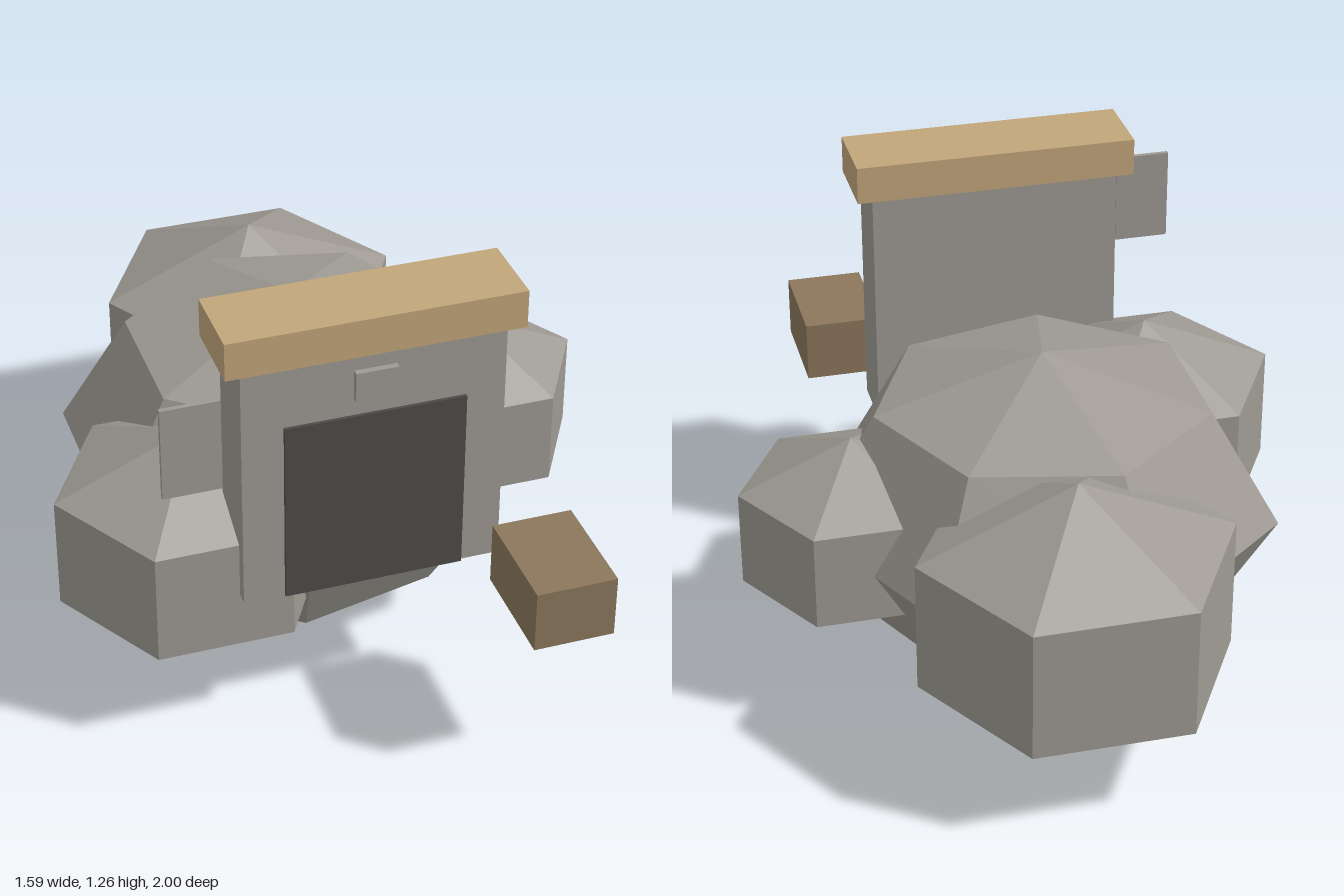
import * as THREE from 'three';

function material(name, color) {
  const m = new THREE.MeshStandardMaterial({ color });
  m.name = name;
  return m;
}

export function createModel() {
  const group = new THREE.Group();
  const stone = material('stone grey', 0x9e9a93);
  const dark = material('dark doorway', 0x4d4b4a);
  const tan = material('light wood', 0xc2a67a);
  const brown = material('brown wood', 0x8b775c);

  // Faceted boulder: a coarse sphere squashed in height
  function boulder(name, radius, squash, sides, rings, x, z) {
    const sphere = new THREE.SphereGeometry(radius, sides, rings);
    sphere.rotateY(Math.PI);
    sphere.scale(1, squash, 1);
    const geometry = sphere.toNonIndexed();
    geometry.computeVertexNormals();
    const mesh = new THREE.Mesh(geometry, stone);
    mesh.name = name;
    mesh.position.set(x, 0.46, z);
    group.add(mesh);
  }

  // Box given by its lower and upper limits on each axis
  function box(name, mat, [x0, x1], [y0, y1], [z0, z1]) {
    const mesh = new THREE.Mesh(new THREE.BoxGeometry(x1 - x0, y1 - y0, z1 - z0), mat);
    mesh.name = name;
    mesh.position.set((x0 + x1) / 2, (y0 + y1) / 2, (z0 + z1) / 2);
    group.add(mesh);
  }

  // Rocks
  boulder('mainRock', 0.65, 0.7, 7, 4, -0.04, -0.11);
  boulder('leftRock', 0.355, 0.755, 6, 3, 0.483, -0.113);
  boulder('rightRock', 0.424, 0.75, 6, 3, -0.428, 0.238);
  boulder('backRock', 0.488, 0.75, 6, 3, 0.002, -0.634);

  // Entrance wall with lintel and doorway
  box('entranceWall', stone, [-0.39, 0.305], [0.46, 1.16], [0.415, 0.59]);
  box('lintel', tan, [-0.433, 0.35], [1.16, 1.265], [0.39, 0.608]);
  box('doorway', dark, [-0.28, 0.2], [0.46, 0.98], [0.59, 0.599]);

  // Plaques and crate
  box('doorPlaque', stone, [-0.098, 0.014], [1.028, 1.112], [0.591, 0.608]);
  box('sidePlaque', stone, [-0.6, -0.446], [0.852, 1.112], [0.602, 0.615]);
  box('crate', brown, [0.243, 0.459], [0.461, 0.634], [0.697, 1.0]);

  return group;
}
